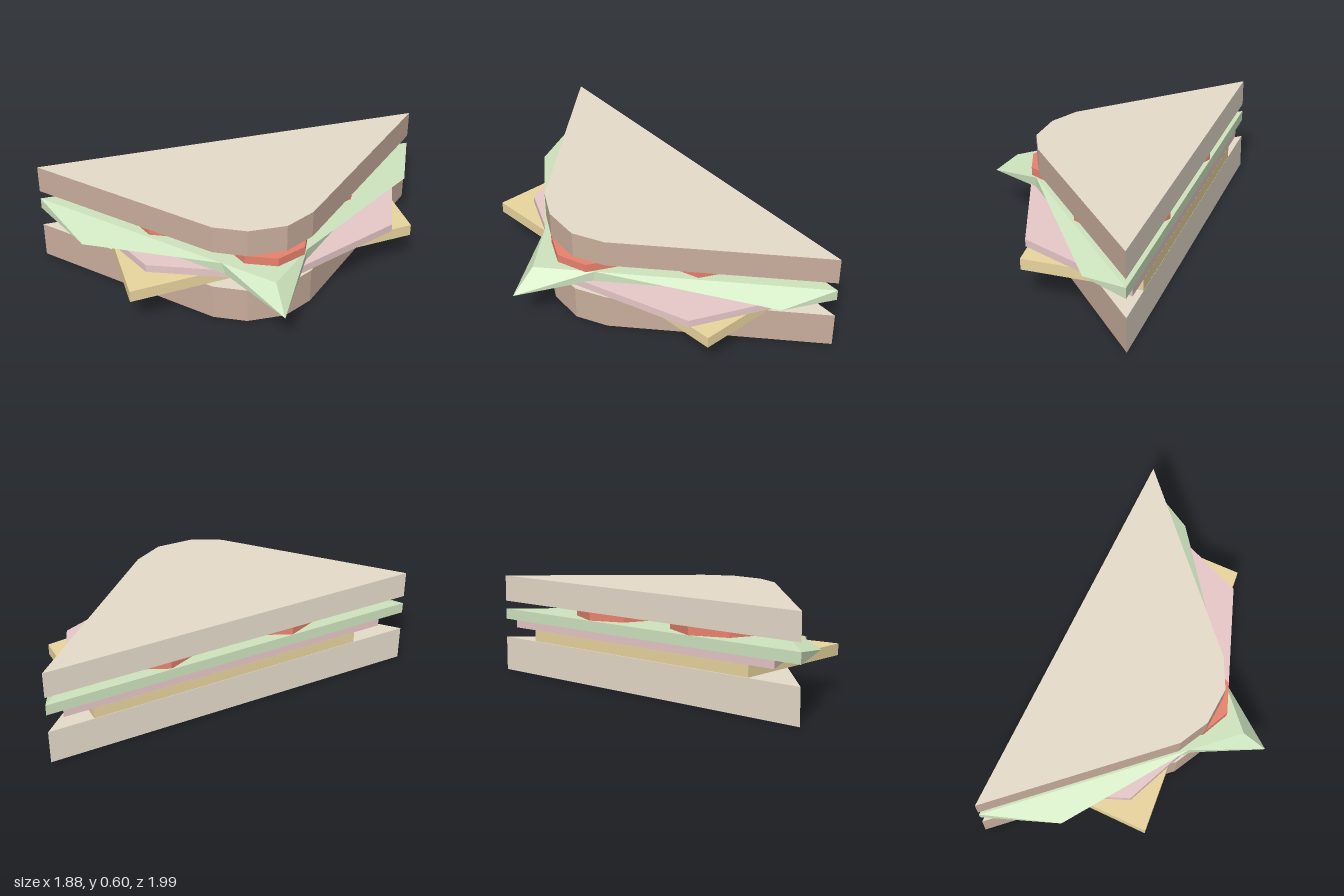
import * as THREE from 'three';

const paint = (color) => {
  const m = new THREE.MeshStandardMaterial({ color, flatShading: true });
  return m;
};

// Horizontal slab with outline [x, z] between heights y0 and y1
function slab(outline, y0, y1) {
  const shape = new THREE.Shape(outline.map(([x, z]) => new THREE.Vector2(x, -z)));
  const geo = new THREE.ExtrudeGeometry(shape, { depth: y1 - y0, bevelEnabled: false });
  return geo.rotateX(-Math.PI / 2).translate(0, y0, 0);
}

// Keeps only the triangles whose normal passes the test
function pick(geo, test) {
  const p = geo.attributes.position, n = geo.attributes.normal, out = [];
  for (let i = 0; i < p.count; i += 3) {
    if (!test(n.getX(i), n.getY(i), n.getZ(i))) continue;
    for (let k = i; k < i + 3; k++) out.push(p.getX(k), p.getY(k), p.getZ(k));
  }
  return fromPositions(out);
}

function fromPositions(list) {
  const geo = new THREE.BufferGeometry();
  geo.setAttribute('position', new THREE.Float32BufferAttribute(list, 3));
  geo.computeVertexNormals();
  return geo;
}

// Folded leaf: flat middle with three drooping points
function lettuceGeometry() {
  const hi = 0.39, lo = 0.325;
  const v = {
    a: [-0.94, hi, 0.65], b: [0.28, hi, 0.65], c: [0.61, hi, 0.65], d: [0.61, hi, 0.31], e: [0.61, hi, -1],
    A: [-0.94, lo, 0.65], L: [-0.52, lo, 0.82], P: [-0.15, lo, 0.65], Q: [0.3, lo, 0.65],
    T: [0.72, 0.265, 0.745],
    R: [0.61, lo, 0.32], S: [0.61, lo, -0.17], M: [0.73, lo, -0.71], E: [0.61, lo, -1],
  };
  const faces = [
    'abc acd ade',             // top
    'aLb bTc cTd dMe',         // drooping flaps
    'aAL LPb PQb bQT',         // front edge
    'TRd RSd SMd MEe',         // side edge
    'eEA eAa',                 // cut edge
    'APL ARQ AER QRT SEM',     // underside
  ].join(' ').split(' ');
  return fromPositions(faces.flatMap((f) => [...f].flatMap((k) => v[k])));
}

export function createModel() {
  const model = new THREE.Group();
  model.name = 'sandwich';
  const add = (parent, name, geo, material) => {
    const mesh = new THREE.Mesh(geo, material);
    mesh.name = name;
    parent.add(mesh);
  };

  // Bread: crust around the rounded corner, crumb on the faces and the diagonal cut
  const crumb = paint(0xe6dccb), crust = paint(0xc9ae9c);
  const breadOutline = [[-0.94, 0.65], [0.22, 0.65], [0.4, 0.585], [0.555, 0.435], [0.61, 0.25], [0.61, -1]];
  const isCrumb = (x, y, z) => Math.abs(y) > 0.5 || x + z < -0.5;
  for (const [name, y0, y1] of [['bottomBread', 0, 0.21], ['topBread', 0.44, 0.6]]) {
    const bread = new THREE.Group();
    bread.name = name;
    const geo = slab(breadOutline, y0, y1);
    add(bread, 'crumb', pick(geo, isCrumb), crumb);
    add(bread, 'crust', pick(geo, (x, y, z) => !isCrumb(x, y, z)), crust);
    model.add(bread);
  }

  // Cheese and ham, both cut along the diagonal
  add(model, 'cheese', slab([[-0.71, 0.405], [-0.085, 0.99], [0.94, -0.34], [0.427, -0.805]], 0.212, 0.28), paint(0xe9d59e));
  add(model, 'ham', slab([[-0.825, 0.528], [-0.11, 0.8], [0.575, 0.49], [0.87, -0.23], [0.545, -0.93]], 0.28, 0.325), paint(0xe8c8c8));

  add(model, 'lettuce', lettuceGeometry(), paint(0xcfe5bf));

  // Tomato slices: eight-sided discs [x, z, radius]
  const tomato = paint(0xe8826e);
  for (const [x, z, r] of [[-0.2, 0.32, 0.31], [0.31, -0.255, 0.285], [0.385, 0.355, 0.235]]) {
    const disc = new THREE.CylinderGeometry(r, r, 0.05, 8).translate(x, 0.415, z);
    add(model, 'tomatoSlice', disc, tomato);
  }
  return model;
}
